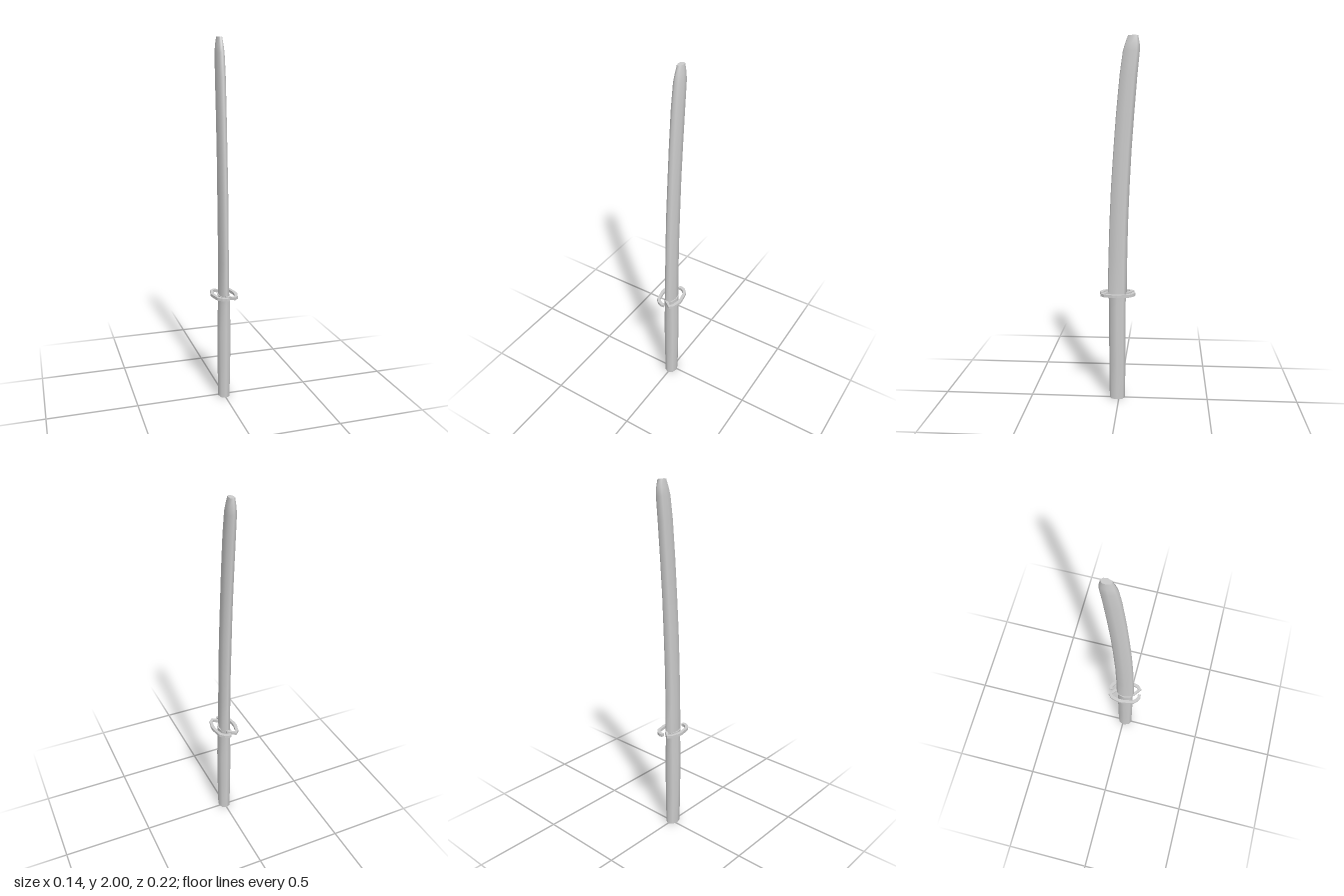
import * as THREE from 'three';

const material = new THREE.MeshStandardMaterial({ color: 0xcccccc, side: THREE.DoubleSide });

// Lofts a closed section through levels [y, half width, front z, back z], with flat end caps.
function loft(name, section, levels) {
  const n = section.length, pos = [], index = [];
  const addRing = ([y, w, front, back]) => {
    const start = pos.length / 3;
    for (const [u, v] of section) pos.push(u * w, y, (front + back) / 2 + v * (front - back) / 2);
    return start;
  };
  levels.forEach(addRing);
  for (let i = 0; i < levels.length - 1; i++) {
    for (let j = 0; j < n; j++) {
      const a = i * n + j, b = i * n + (j + 1) % n;
      index.push(a, b, b + n, a, b + n, a + n);
    }
  }
  const bottom = addRing(levels[0]);
  const top = addRing(levels[levels.length - 1]);
  for (let j = 1; j < n - 1; j++) {
    index.push(bottom, bottom + j + 1, bottom + j);
    index.push(top, top + j, top + j + 1);
  }
  const geometry = new THREE.BufferGeometry();
  geometry.setAttribute('position', new THREE.Float32BufferAttribute(pos, 3));
  geometry.setIndex(index);
  geometry.computeVertexNormals();
  const mesh = new THREE.Mesh(geometry, material);
  mesh.name = name;
  return mesh;
}

// Mirrors one half of a section (front to back) to make a closed outline.
const mirrored = half => [...half, ...half.slice(1, -1).reverse().map(([u, v]) => [-u, v])];

export function createModel() {
  const model = new THREE.Group();
  model.name = 'curvedSword';

  // Grip: oval, swelling slightly around the middle
  const gripSection = mirrored([[0, 1], [0.72, 0.72], [1, 0], [0.72, -0.72], [0, -1]]);
  model.add(loft('grip', gripSection, [
    [0, 0.034, 0.053, -0.034],
    [0.2, 0.038, 0.055, -0.036],
    [0.4, 0.039, 0.056, -0.037],
    [0.56, 0.035, 0.056, -0.037],
    [0.61, 0.035, 0.060, -0.042]
  ]));

  // Blade: narrow front edge, broad spine, sweeping backwards
  const bladeSection = mirrored([[0, 1], [0.55, 0.86], [1, 0.07], [0.83, -0.67], [0, -1]]);
  model.add(loft('blade', bladeSection, [
    [0.6, 0.029, 0.063, -0.044],
    [0.8, 0.028, 0.059, -0.045],
    [1.0, 0.028, 0.053, -0.049],
    [1.2, 0.028, 0.044, -0.057],
    [1.4, 0.027, 0.031, -0.067],
    [1.6, 0.027, 0.016, -0.081],
    [1.8, 0.027, -0.003, -0.097],
    [1.92, 0.025, -0.02, -0.109],
    [1.96, 0.021, -0.032, -0.108],
    [2.0, 0.015, -0.047, -0.1]
  ]));

  // Guard: two flat open hooks, each a half turn of the other
  const outline = [
    [0.008, -0.050], [-0.037, -0.084], [-0.059, -0.063], [-0.071, -0.016], [-0.071, 0.010],
    [-0.057, 0.075], [-0.034, 0.098], [-0.012, 0.107], [0.005, 0.104],
    [0.004, 0.086], [-0.011, 0.088], [-0.027, 0.080], [-0.043, 0.064],
    [-0.053, 0.012], [-0.053, -0.012], [-0.045, -0.052], [-0.034, -0.066], [0.008, -0.030]
  ];
  const centreZ = 0.008;
  const shape = new THREE.Shape(outline.map(([x, z]) => new THREE.Vector2(x, centreZ - z)));
  const hook = new THREE.ExtrudeGeometry(shape, { depth: 0.016, bevelEnabled: false });
  hook.rotateX(-Math.PI / 2);
  const guard = new THREE.Group();
  guard.name = 'guard';
  for (let i = 0; i < 2; i++) {
    const mesh = new THREE.Mesh(hook, material);
    mesh.name = i ? 'guardHookLeft' : 'guardHookRight';
    mesh.rotation.y = i * Math.PI;
    guard.add(mesh);
  }
  guard.position.set(0, 0.603, centreZ);
  model.add(guard);

  return model;
}
